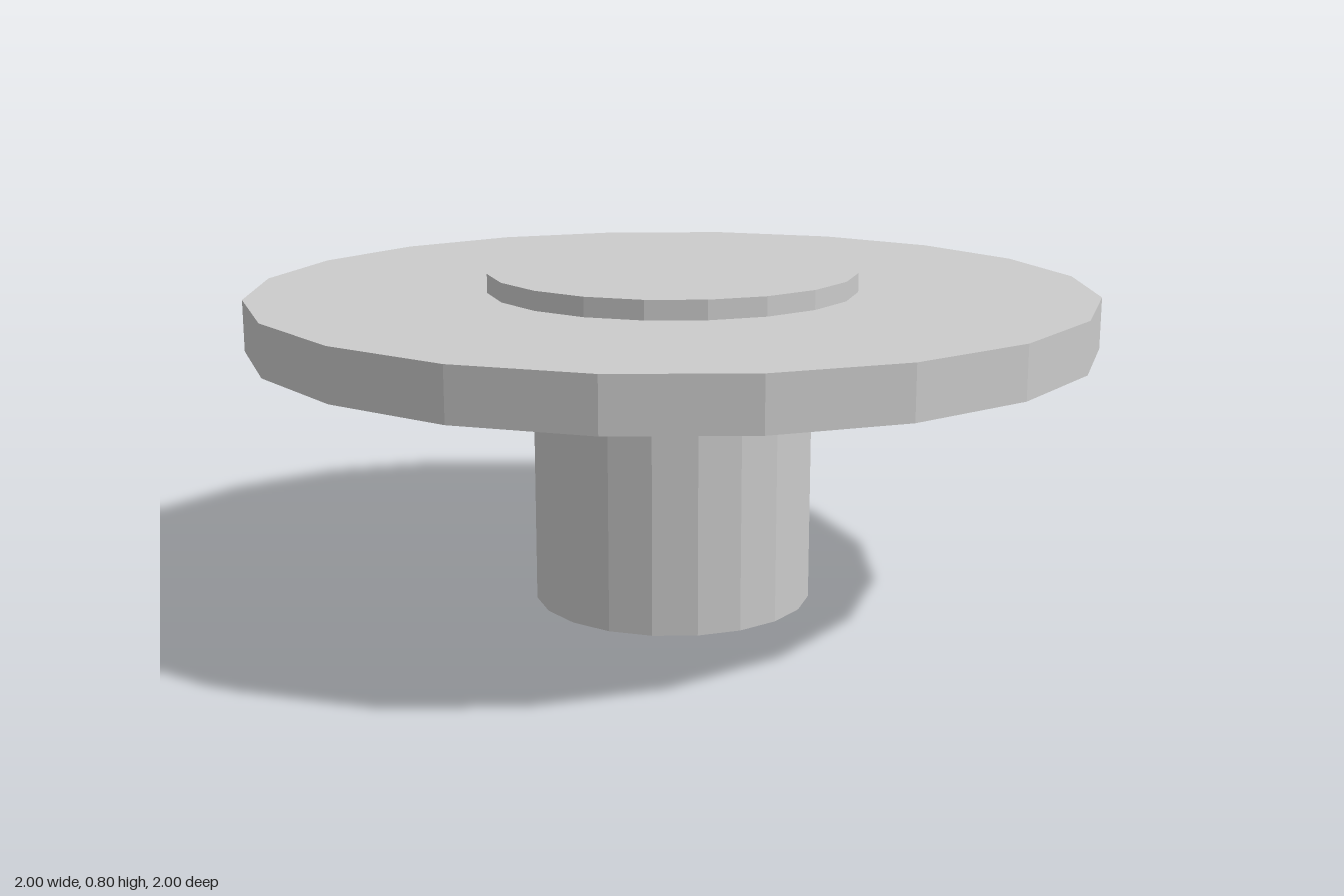
import * as THREE from 'three';

const SIDES = 20;

export function createModel() {
  const group = new THREE.Group();
  const material = new THREE.MeshStandardMaterial({ color: 0xcccccc, flatShading: true });

  // Upright faceted disc between two heights
  function addDisc(name, radius, bottom, top) {
    const geometry = new THREE.CylinderGeometry(radius, radius, top - bottom, SIDES);
    const mesh = new THREE.Mesh(geometry, material);
    mesh.name = name;
    mesh.position.y = (bottom + top) / 2;
    group.add(mesh);
  }

  addDisc('stem', 0.335, 0, 0.635);
  addDisc('tableTop', 1, 0.635, 0.755);
  addDisc('raisedCentre', 0.44, 0.755, 0.8);

  return group;
}
